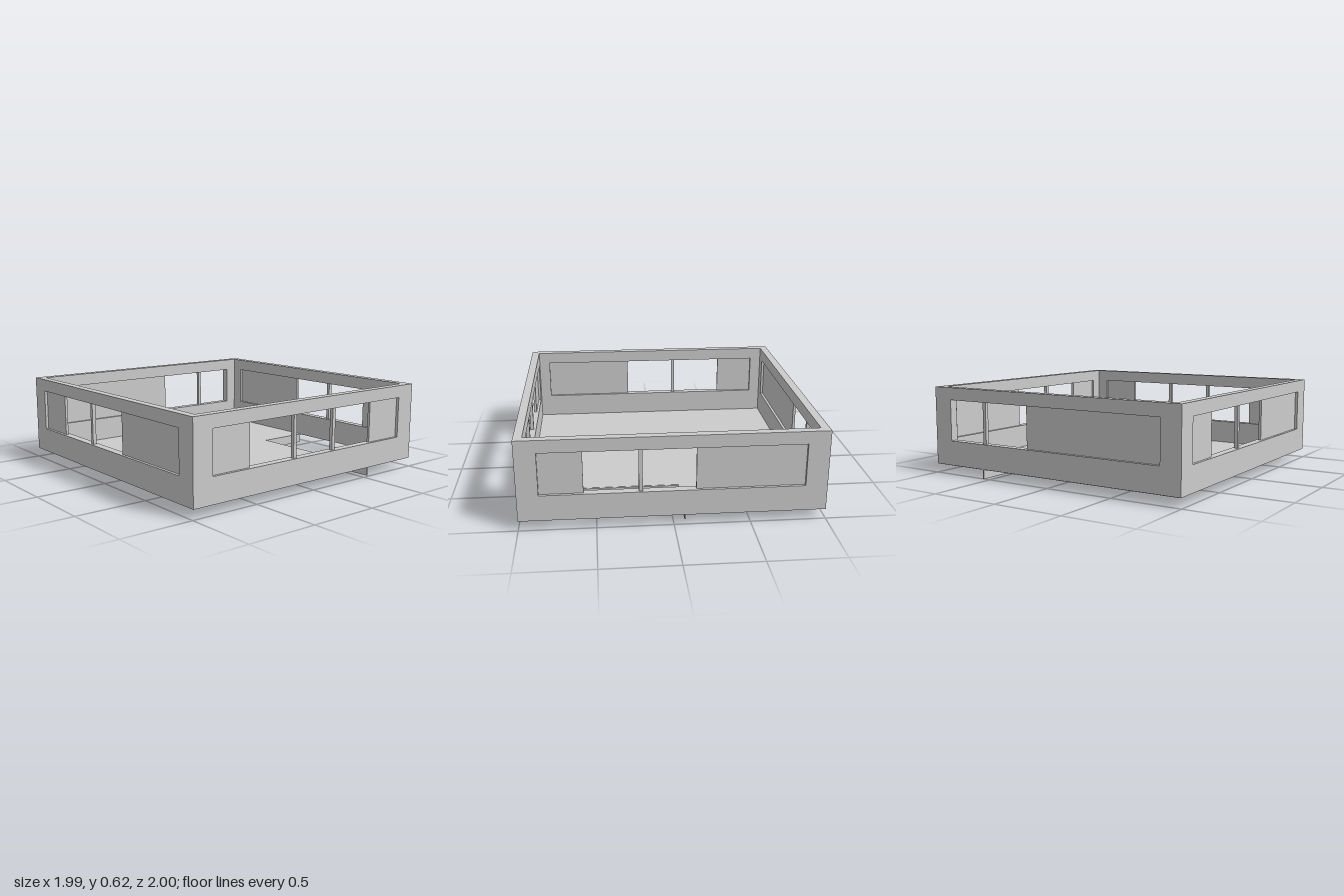
import * as THREE from 'three';

const BOTTOM = 0.065, TOP = 0.617, SILL = 0.24, HEAD = 0.53;
const HX = 0.995, HZ = 1, T = 0.057;
const material = new THREE.MeshStandardMaterial({ color: 0xcccccc, flatShading: true, side: THREE.DoubleSide });

function box(name, x0, x1, y0, y1, z0, z1) {
  const mesh = new THREE.Mesh(new THREE.BoxGeometry(x1 - x0, y1 - y0, z1 - z0), material);
  mesh.position.set((x0 + x1) / 2, (y0 + y1) / 2, (z0 + z1) / 2);
  mesh.name = name;
  return mesh;
}

function rect(target, x0, x1, y0, y1) {
  target.moveTo(x0, y0);
  target.lineTo(x1, y0);
  target.lineTo(x1, y1);
  target.lineTo(x0, y1);
  target.closePath();
  return target;
}

// Wall drawn facing +z with its outer face at z = 0, then turned into place.
// Spans run left to right as seen from outside.
function wall({ name, half, distance, angle, window, panels, mullions }) {
  const group = new THREE.Group();
  group.name = name;
  const shape = rect(new THREE.Shape(), -half, half, BOTTOM, TOP);
  shape.holes.push(rect(new THREE.Path(), window[0], window[1], SILL, HEAD));
  const frame = new THREE.Mesh(new THREE.ExtrudeGeometry(shape, { depth: T, bevelEnabled: false }), material);
  frame.position.z = -T;
  frame.name = 'wallFrame';
  group.add(frame);
  // Closed panels sit recessed within the window opening
  for (const [a, b] of panels) group.add(box('windowPanel', a, b, SILL, HEAD, -0.038, -0.02));
  for (const [a, b] of mullions) group.add(box('mullion', a, b, SILL, HEAD, -0.041, -0.016));
  group.rotation.y = angle;
  group.position.set(Math.sin(angle) * distance, 0, Math.cos(angle) * distance);
  return group;
}

export function createModel() {
  const model = new THREE.Group();
  model.name = 'walledRoom';

  const walls = [
    { name: 'frontWall', half: HX, distance: HZ, angle: 0, window: [-0.85, 0.85],
      panels: [[-0.85, -0.545], [0.562, 0.85]], mullions: [[-0.175, -0.15], [0.183, 0.21]] },
    { name: 'backWall', half: HX, distance: HZ, angle: Math.PI, window: [-0.85, 0.85],
      panels: [[-0.18, 0.85]], mullions: [[-0.562, -0.537]] },
    { name: 'leftWall', half: HZ - T, distance: HX, angle: Math.PI / 2, window: [-0.86, 0.855],
      panels: [[-0.86, -0.577], [0.145, 0.855]], mullions: [[-0.225, -0.2]] },
    { name: 'rightWall', half: HZ - T, distance: HX, angle: -Math.PI / 2, window: [-0.86, 0.86],
      panels: [[-0.86, -0.577], [0.2, 0.86]], mullions: [[-0.2, -0.175]] },
  ];
  walls.forEach((w) => model.add(wall(w)));

  // Floor slab with the stairwell corner left open
  const outline = new THREE.Shape();
  outline.moveTo(-0.98, -0.985);
  outline.lineTo(0.55, -0.985);
  outline.lineTo(0.55, 0.075);
  outline.lineTo(0.98, 0.075);
  outline.lineTo(0.98, 0.985);
  outline.lineTo(-0.98, 0.985);
  outline.closePath();
  const floor = new THREE.Mesh(new THREE.ExtrudeGeometry(outline, { depth: 0.008, bevelEnabled: false }), material);
  floor.rotation.x = -Math.PI / 2;
  floor.position.y = 0.06;
  floor.name = 'floor';
  model.add(floor);

  // Thin beams hanging below the stairwell edges
  model.add(box('longBeam', 0.55, 0.56, 0, 0.066, -1, 0.983));
  model.add(box('crossBeam', 0.55, 0.933, 0, 0.066, -0.085, -0.075));
  return model;
}
